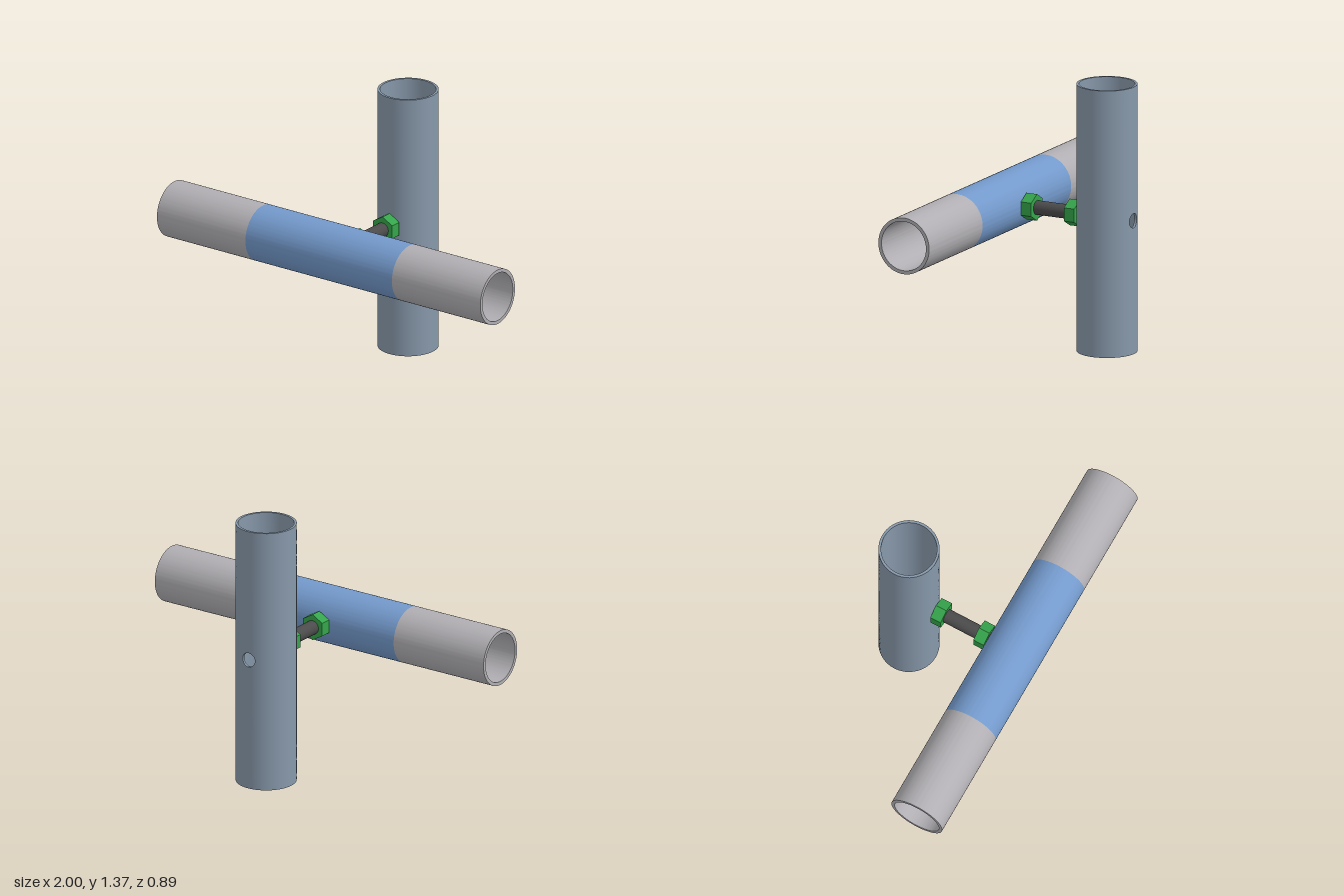
import * as THREE from 'three';
import { toCreasedNormals, mergeGeometries } from 'three/addons/utils/BufferGeometryUtils.js';

const AXIS_Y = 0.683;                 // height of the bolt and the crossbar
const BAR_Z = 0.303;                  // crossbar centre
const POST = { z: -0.295, outer: 0.152, inner: 0.139, height: 1.366, hole: 0.037 };

const makeMaterial = (name, color) => {
  const m = new THREE.MeshStandardMaterial({ color });
  m.name = name;
  return m;
};

// Closed tube along x with crisp rims
function tubeX(outer, inner, length) {
  const shape = new THREE.Shape().absarc(0, 0, outer, 0, Math.PI * 2, false);
  shape.holes.push(new THREE.Path().absarc(0, 0, inner, 0, Math.PI * 2, true));
  const geo = new THREE.ExtrudeGeometry(shape, { depth: length, bevelEnabled: false, curveSegments: 64 });
  geo.translate(0, 0, -length / 2).rotateY(Math.PI / 2);
  return toCreasedNormals(geo, 0.6);
}

// Grid of quads closed in the column direction
function loopGrid(rows, cols, point, flip = false) {
  const pos = [], index = [];
  for (let r = 0; r <= rows; r++)
    for (let c = 0; c < cols; c++) pos.push(...point(r / rows, c));
  for (let r = 0; r < rows; r++)
    for (let c = 0; c < cols; c++) {
      const n = (c + 1) % cols;
      const a = r * cols + c, b = a + cols, d = r * cols + n, e = d + cols;
      index.push(...(flip ? [a, e, b, a, d, e] : [a, b, e, a, e, d]));
    }
  const geo = new THREE.BufferGeometry();
  geo.setAttribute('position', new THREE.Float32BufferAttribute(pos, 3));
  geo.setIndex(index);
  geo.computeVertexNormals();
  return geo;
}

// Half of the post wall with a round bolt hole, facing +z
function halfPost() {
  const side = 24, cols = side * 4, half = POST.height / 2;
  const angle = (c) => -Math.PI / 4 + (c / cols) * Math.PI * 2;
  const rim = (c, R) => [Math.asin((POST.hole * Math.cos(angle(c))) / R), POST.hole * Math.sin(angle(c))];
  const edge = (c) => {
    const k = ((c % side) / side) * 2 - 1;
    return [[1, k], [-k, 1], [-1, -k], [k, -1]][Math.floor(c / side)];
  };
  const bend = (phi, y, R) => [R * Math.sin(phi), y, R * Math.cos(phi)];
  const shell = (R, sign) => {
    const geo = loopGrid(24, cols, (s, c) => {
      const [p0, y0] = rim(c, R), [ex, ey] = edge(c);
      return bend(p0 + (ex * Math.PI / 2 - p0) * s, y0 + (ey * half - y0) * s, R);
    }, sign < 0);
    const p = geo.attributes.position, n = geo.attributes.normal;
    for (let i = 0; i < p.count; i++) n.setXYZ(i, sign * p.getX(i) / R, 0, sign * p.getZ(i) / R);
    return geo;
  };
  const holeWall = loopGrid(1, cols, (s, c) => {
    const R = s ? POST.outer : POST.inner;
    return bend(...rim(c, R), R);
  });
  return mergeGeometries([shell(POST.outer, 1), shell(POST.inner, -1), holeWall]);
}

export function createModel() {
  const model = new THREE.Group();
  model.name = 'tubeJoint';
  const slate = makeMaterial('slateSteel', 0x8798aa);
  slate.side = THREE.DoubleSide;
  const grey = makeMaterial('greySteel', 0xb0aeb2);
  const blue = makeMaterial('blueSleeve', 0x7399cb);
  const orange = makeMaterial('orangeLiner', 0xd58a36);
  const green = makeMaterial('greenNut', 0x35a44b);
  const red = makeMaterial('redHead', 0xcf3535);
  const dark = makeMaterial('darkRod', 0x4b4b4b);

  const add = (name, geo, mat, x, y, z, parent = model) => {
    const mesh = new THREE.Mesh(geo, mat);
    mesh.name = name;
    mesh.position.set(x, y, z);
    parent.add(mesh);
    return mesh;
  };

  // Upright post: two drilled halves and two end rims
  const post = new THREE.Group();
  post.name = 'post';
  post.position.set(0, AXIS_Y, POST.z);
  model.add(post);
  const wall = halfPost();
  add('postFront', wall, slate, 0, 0, 0, post);
  add('postBack', wall, slate, 0, 0, 0, post).rotation.y = Math.PI;
  const ring = new THREE.RingGeometry(POST.inner, POST.outer, 48);
  for (const s of [1, -1])
    add(s > 0 ? 'postTopRim' : 'postBottomRim', ring, slate, 0, s * POST.height / 2, 0, post).rotation.x = -s * Math.PI / 2;

  // Crossbar: blue middle, grey ends, orange liner inside the middle
  add('barMiddle', tubeX(0.144, 0.126, 0.906), blue, 0, AXIS_Y, BAR_Z);
  const barEnd = tubeX(0.144, 0.126, 0.547);
  add('leftBarEnd', barEnd, grey, 0.7265, AXIS_Y, BAR_Z);
  add('rightBarEnd', barEnd, grey, -0.7265, AXIS_Y, BAR_Z);
  add('barLiner', tubeX(0.126, 0.101, 0.9), orange, 0, AXIS_Y, BAR_Z);

  // Bolt: rod, hexagonal head inside the bar, three nuts
  const prism = (radius, from, to, sides) =>
    new THREE.CylinderGeometry(radius, radius, to - from, sides).rotateX(Math.PI / 2).translate(0, 0, (from + to) / 2);
  const hex = (radius, from, to) => toCreasedNormals(prism(radius, from, to, 6), 0.3);
  add('boltRod', prism(0.036, -0.3, 0.22, 32), dark, 0, AXIS_Y, 0);
  add('boltHead', hex(0.062, 0.2, 0.26), red, 0, AXIS_Y, 0);
  const nuts = [['barNut', 0.102, 0.161], ['postOuterNut', -0.142, -0.083], ['postInnerNut', -0.242, -0.185]];
  for (const [name, from, to] of nuts) add(name, hex(0.068, from, to), green, 0, AXIS_Y, 0);

  return model;
}
